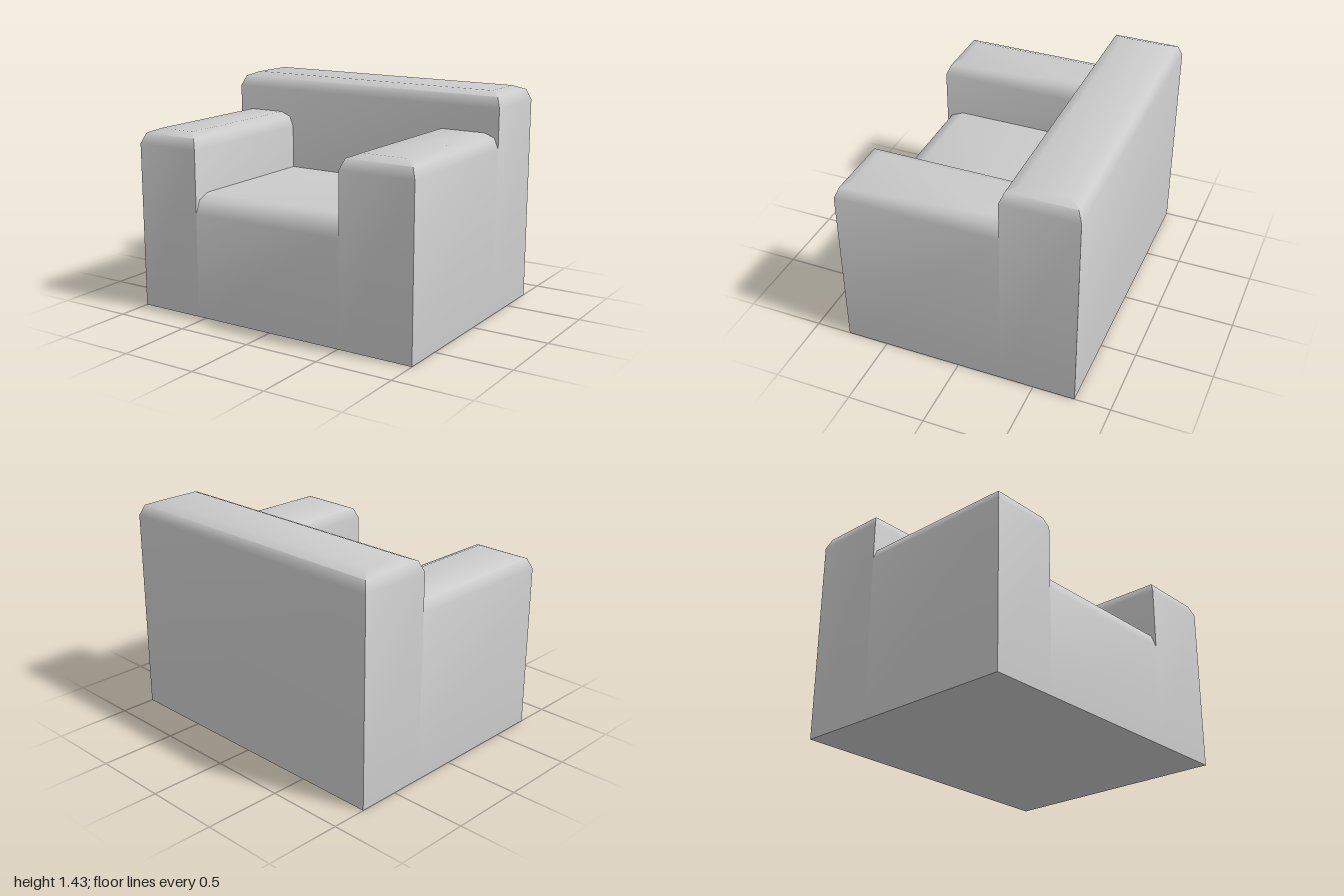
import * as THREE from 'three';
import { toCreasedNormals } from 'three/addons/utils/BufferGeometryUtils.js';

// Upholstered block: a box whose chosen top edges are rounded by stacked rectangular rings.
// soft = which sides are rounded: [left -x, right +x, back -z, front +z]
function cushionBlock(name, [x0, x1], [z0, z1], height, bevel, soft) {
  // [inset, drop below the top] as a fraction of the bevel
  const steps = [[0, 1], [0.29, 0.29], [1, 0]];
  const levels = [[0, 0], ...steps.map(([i, d]) => [i * bevel, height - d * bevel])];
  const rings = levels.map(([inset, y]) => {
    const a = x0 + inset * soft[0], b = x1 - inset * soft[1];
    const c = z0 + inset * soft[2], d = z1 - inset * soft[3];
    // unrounded sides stay upright
    return [[a, y, d], [b, y, d], [b, y, c], [a, y, c]];
  });

  const positions = [];
  const quad = (p, q, r, s) => positions.push(...p, ...q, ...r, ...p, ...r, ...s);
  for (let k = 0; k < rings.length - 1; k++) {
    for (let i = 0; i < 4; i++) {
      const j = (i + 1) % 4;
      quad(rings[k][i], rings[k][j], rings[k + 1][j], rings[k + 1][i]);
    }
  }
  quad(...rings[rings.length - 1]);
  quad(...[...rings[0]].reverse());

  const geometry = new THREE.BufferGeometry();
  geometry.setAttribute('position', new THREE.Float32BufferAttribute(positions, 3));
  const mesh = new THREE.Mesh(
    toCreasedNormals(geometry, THREE.MathUtils.degToRad(50)),
    new THREE.MeshStandardMaterial({ color: 0xcccccc })
  );
  mesh.name = name;
  return mesh;
}

export function createModel() {
  const model = new THREE.Group();
  model.name = 'armchair';
  const front = 0.77, back = -0.77, backFront = -0.285;
  const innerRight = -0.555, innerLeft = 0.505;

  model.add(
    // Backrest across the full width, rounded on all four top edges
    cushionBlock('backrest', [-1, 1], [back, backFront], 1.43, 0.095, [1, 1, 1, 1]),
    // Arms run from the backrest to the front
    cushionBlock('rightArm', [-1, innerRight], [backFront, front], 1.175, 0.095, [1, 1, 0, 1]),
    cushionBlock('leftArm', [innerLeft, 1], [backFront, front], 1.175, 0.095, [1, 1, 0, 1]),
    // Seat between the arms, rounded along the front only
    cushionBlock('seat', [innerRight, innerLeft], [backFront, front], 0.795, 0.12, [0, 0, 0, 1])
  );
  return model;
}
